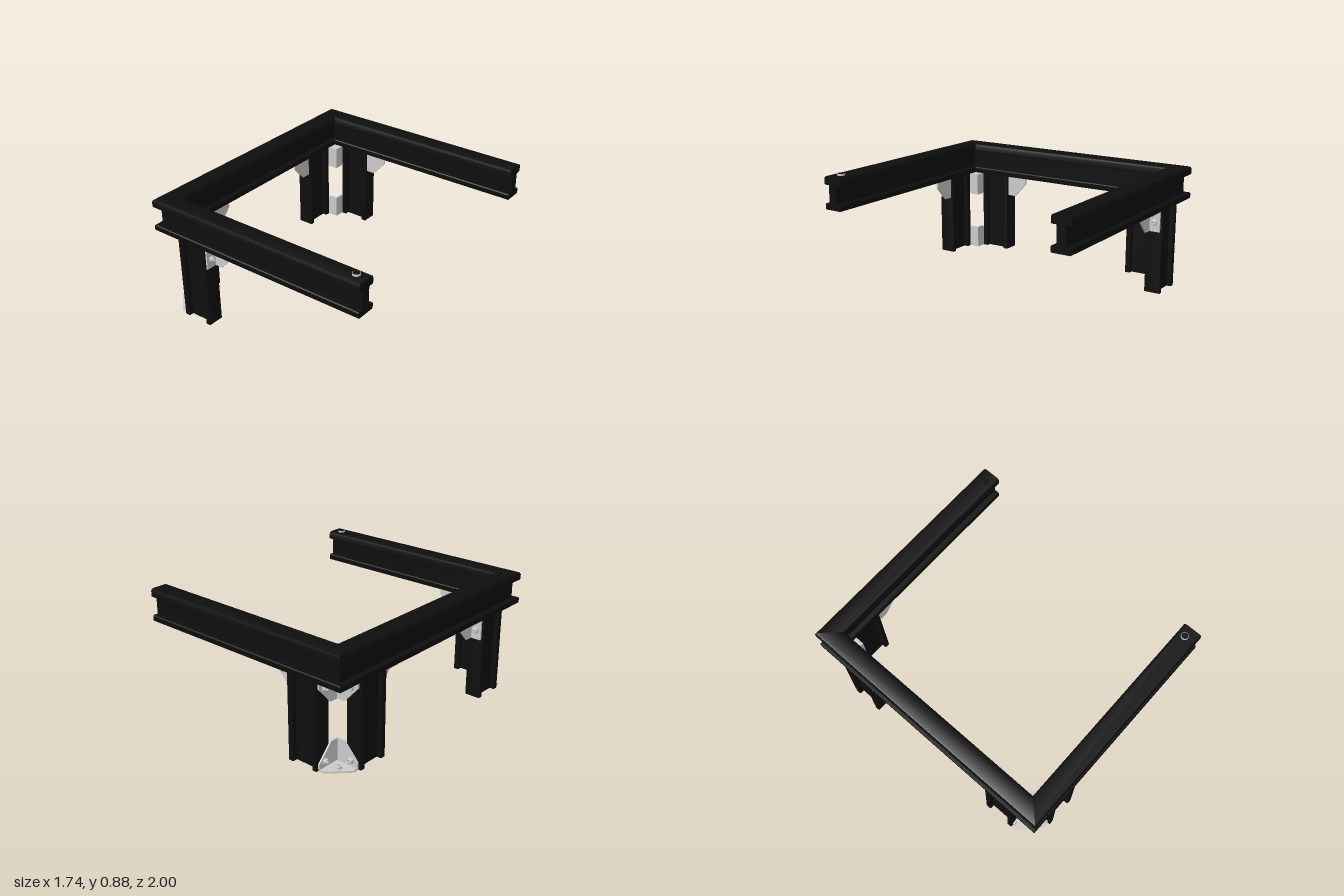
import * as THREE from 'three';
import { toCreasedNormals } from 'three/addons/utils/BufferGeometryUtils.js';

const black = new THREE.MeshStandardMaterial({ color: 0x0e0e0e });
const grey = new THREE.MeshStandardMaterial({ color: 0xcccccc });

function add(parent, name, geometry, material) {
  const mesh = new THREE.Mesh(geometry, material);
  mesh.name = name;
  parent.add(mesh);
  return mesh;
}

// I-shaped section: width w, from y0 to y1, side notches of given depth between n0 and n1,
// outer corners cut in two steps by rTop and rBottom
function beamShape(w, y0, y1, n0, n1, depth, rTop, rBottom) {
  const h = w / 2, c = 0.3;
  const right = [
    [h - rBottom, y0], [h - rBottom * c, y0 + rBottom * c], [h, y0 + rBottom],
    [h, n0 - 0.006], [h - 0.006, n0], [h - depth, n0],
    [h - depth, n1], [h - 0.006, n1], [h, n1 + 0.006],
    [h, y1 - rTop], [h - rTop * c, y1 - rTop * c], [h - rTop, y1],
  ];
  const left = right.map(([x, y]) => [-x, y]).reverse();
  return new THREE.Shape([...right, ...left].map(([x, y]) => new THREE.Vector2(x, y)));
}

// Extrusion from z0 to z1 whose ends are mitred by slopes m0 and m1
function beam(shape, z0, z1, m0 = 0, m1 = 0) {
  const g = new THREE.ExtrudeGeometry(shape, { depth: 1, bevelEnabled: false });
  const p = g.attributes.position;
  for (let i = 0; i < p.count; i++) {
    const x = p.getX(i);
    p.setZ(i, p.getZ(i) < 0.5 ? z0 + m0 * x : z1 + m1 * x);
  }
  return toCreasedNormals(g, 0.6);
}

// Flat plate in the xy plane, thickness towards +z
function plate(points, t = 0.012) {
  const shape = new THREE.Shape(points.map(([x, y]) => new THREE.Vector2(x, y)));
  return new THREE.ExtrudeGeometry(shape, { depth: t, bevelEnabled: false });
}

// Socket screw head standing on a plate, with its axis along +z
function screw(parent, axis, position) {
  const s = 0.019;
  const profile = [[s + 0.005, 0], [s + 0.005, 0.004], [s, 0.006], [s, 0.02], [s - 0.004, 0.024],
    [0.009, 0.024], [0.009, 0.012], [0, 0.012]].map(([r, y]) => new THREE.Vector2(r, y));
  const g = toCreasedNormals(new THREE.LatheGeometry(profile, 16), 0.6);
  const mesh = add(parent, 'screw', g, grey);
  mesh.quaternion.setFromUnitVectors(new THREE.Vector3(0, 1, 0), axis);
  mesh.position.set(...position);
}

const X = new THREE.Vector3(1, 0, 0);
const Y = new THREE.Vector3(0, 1, 0);
const Z = new THREE.Vector3(0, 0, 1);

// Three-sided bracket with its inner corner at the origin, opening to +x +y +z
function cornerBracket() {
  const g = new THREE.Group();
  g.name = 'cornerBracket';
  const side = [[0, 0], [0.18, 0], [0.18, 0.05], [0.07, 0.17], [0, 0.17]];
  const base = [[0, 0], [0.18, 0], [0.18, 0.05], [0.05, 0.18], [0, 0.18]];
  add(g, 'sidePlate', plate(side), grey);
  // swapping x and z turns the side plate onto the other leg
  const other = side.map(([x, y]) => [-x, y]).reverse();
  add(g, 'sidePlate', plate(other).rotateY(Math.PI / 2), grey);
  const flat = base.map(([x, y]) => [x, -y]).reverse();
  add(g, 'basePlate', plate(flat).rotateX(-Math.PI / 2), grey);
  screw(g, Z, [0.13, 0.055, 0.012]);
  screw(g, X, [0.012, 0.055, 0.13]);
  screw(g, Y, [0.09, 0.012, 0.09]);
  return g;
}

// Two flanges joined by a gusset at z = 0, opening to +z
function angleBracket() {
  const g = new THREE.Group();
  g.name = 'angleBracket';
  const w = 0.09, t = 0.012;
  const gusset = [[0, 0], [0.17, 0], [0.17, 0.05], [0.07, 0.16], [0, 0.16]];
  add(g, 'gusset', plate(gusset), grey);
  add(g, 'legFlange', new THREE.BoxGeometry(t, 0.16, w).translate(t / 2, 0.08, w / 2), grey);
  add(g, 'railFlange', new THREE.BoxGeometry(0.17, t, w).translate(0.085, t / 2, w / 2), grey);
  screw(g, X, [t, 0.09, 0.05]);
  screw(g, Y, [0.09, t, 0.05]);
  return g;
}

function place(parent, part, position, scale, turn = 0) {
  part.position.set(...position);
  part.scale.set(...scale);
  part.rotation.y = turn;
  parent.add(part);
}

// Pair of legs with their brackets at the +z corner
function legCorner() {
  const g = new THREE.Group();
  g.name = 'legCorner';
  const shape = beamShape(0.12, -0.12, 0.12, -0.08, 0.08, 0.035, 0.004, 0.004);
  const leg = beam(shape, 0, 0.62).rotateX(-Math.PI / 2);
  add(g, 'leg', leg, black).position.set(-0.8, 0, 0.67);
  const turned = add(g, 'leg', leg, black);
  turned.rotation.y = Math.PI / 2;
  turned.position.set(-0.54, 0, 0.928);

  place(g, cornerBracket(), [-0.66, 0, 0.79], [-1, 1, 1]);
  place(g, cornerBracket(), [-0.66, 0.62, 0.79], [-1, -1, 1]);
  place(g, angleBracket(), [-0.42, 0.62, 0.885], [1, -1, 1]);
  place(g, angleBracket(), [-0.758, 0.62, 0.55], [1, -1, -1], Math.PI / 2);
  return g;
}

export function createModel() {
  const model = new THREE.Group();
  model.name = 'frame';

  // Mitred rails
  const section = beamShape(0.145, 0.62, 0.862, 0.665, 0.8, 0.04, 0.02, 0.008);
  add(model, 'longRail', beam(section, -0.9275, 0.9275, 1, -1), black).position.x = -0.7975;
  for (const s of [1, -1]) {
    const rail = beam(section, -0.7975, 0.87, s).rotateY(Math.PI / 2);
    add(model, 'sideRail', rail, black).position.z = s * 0.9275;
  }

  // Legs at both corners, mirrored front to back
  for (const s of [1, -1]) {
    const corner = legCorner();
    corner.scale.z = s;
    model.add(corner);
  }

  // Studs on the free rail ends
  const stud = new THREE.CylinderGeometry(0.027, 0.027, 0.016, 24);
  add(model, 'frontStud', stud, grey).position.set(0.79, 0.867, 0.915);
  const cap = new THREE.CylinderGeometry(0.024, 0.024, 0.002, 24);
  add(model, 'frontStudCap', cap, black).position.set(0.79, 0.8755, 0.915);
  add(model, 'backStud', stud, black).position.set(0.79, 0.859, -0.915);

  return model;
}
